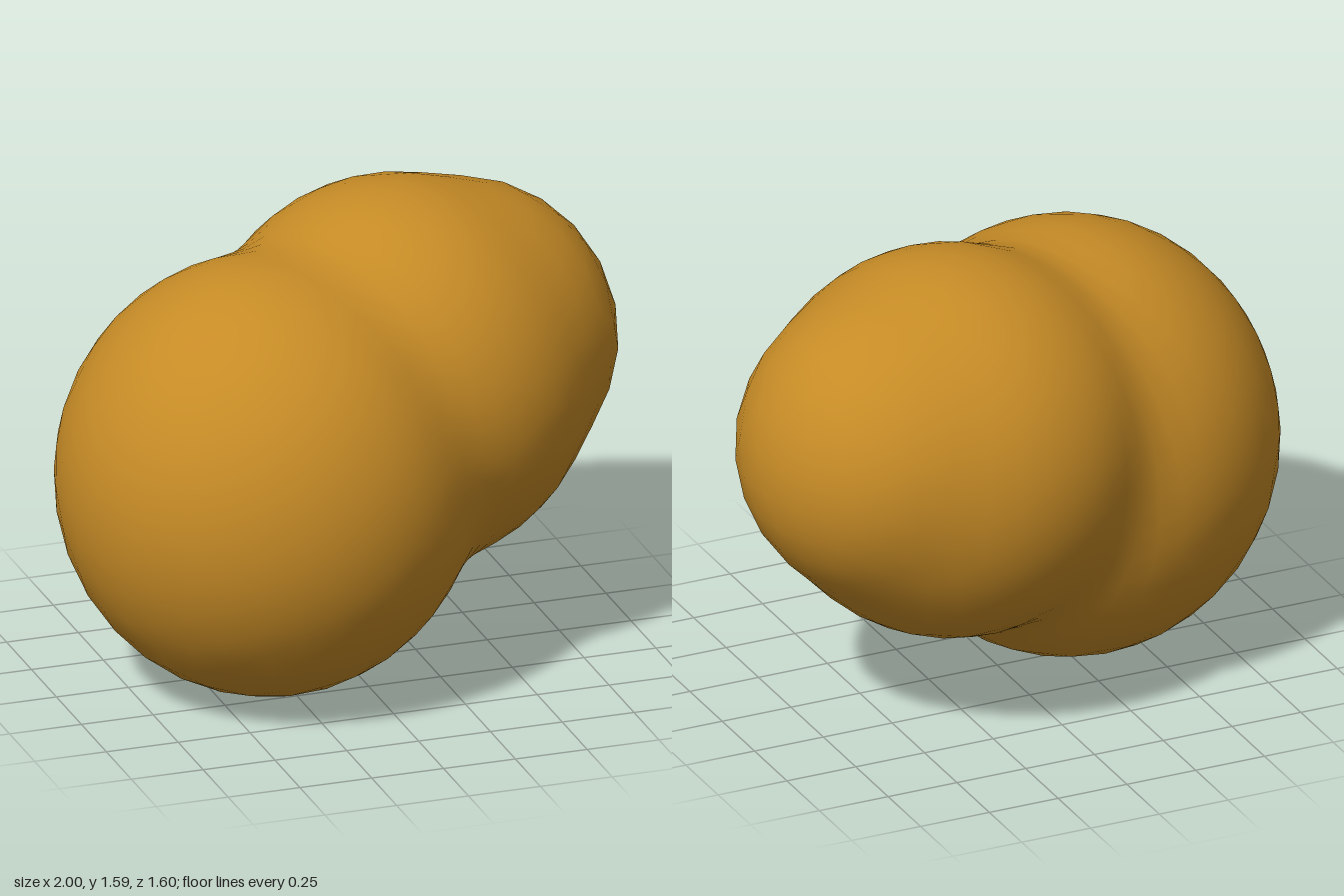
import * as THREE from 'three';
import { mergeVertices } from 'three/addons/utils/BufferGeometryUtils.js';

// Large lower lobe: a near-spherical ellipsoid
const lowerCentre = new THREE.Vector3(-0.3, 0.738, 0.1);
const lowerRadii = new THREE.Vector3(0.704, 0.74, 0.703);

// Upper lobe: a short rounded cone, narrower at its outer end
const upperStart = new THREE.Vector3(0.24, 0.938, -0.15);
const upperEnd = new THREE.Vector3(0.475, 1.0, -0.22);
const startRadius = 0.654;
const endRadius = 0.528;
const blend = 0.1;

const axis = upperEnd.clone().sub(upperStart);
const axisLength = axis.length();
axis.normalize();
const taper = Math.tan(Math.asin((startRadius - endRadius) / axisLength));
const q = new THREE.Vector3();

// Signed distance to the two lobes, joined with a soft waist
function distance(p) {
  const lower = (q.copy(p).sub(lowerCentre).divide(lowerRadii).length() - 1) * 0.72;
  const along = q.copy(p).sub(upperStart).dot(axis);
  const across = q.addScaledVector(axis, -along).length();
  const t = THREE.MathUtils.clamp((along - across * taper) / axisLength, 0, 1);
  q.copy(upperStart).addScaledVector(axis, t * axisLength);
  const upper = q.distanceTo(p) - THREE.MathUtils.lerp(startRadius, endRadius, t);
  const h = Math.max(blend - Math.abs(lower - upper), 0) / blend;
  return Math.min(lower, upper) - h * h * blend * 0.25;
}

// Push every vertex of a sphere outwards onto the blended surface
function lobedGeometry() {
  let geometry = new THREE.IcosahedronGeometry(1, 8);
  geometry.deleteAttribute('uv');
  geometry.deleteAttribute('normal');
  geometry = mergeVertices(geometry, 1e-4);
  const origin = new THREE.Vector3(0, 0.85, -0.03);
  const position = geometry.attributes.position;
  const direction = new THREE.Vector3();
  const p = new THREE.Vector3();
  for (let i = 0; i < position.count; i++) {
    direction.fromBufferAttribute(position, i).normalize();
    let near = 0, far = 2;
    for (let step = 0; step < 30; step++) {
      const mid = (near + far) / 2;
      p.copy(origin).addScaledVector(direction, mid);
      if (distance(p) < 0) near = mid; else far = mid;
    }
    position.setXYZ(i, p.x, p.y, p.z);
  }
  geometry.computeVertexNormals();
  return geometry;
}

export function createModel() {
  const group = new THREE.Group();
  const golden = new THREE.MeshStandardMaterial({ color: 0xc68b26 });
  golden.name = 'golden brown';
  const body = new THREE.Mesh(lobedGeometry(), golden);
  body.name = 'twoLobedBody';
  group.add(body);
  return group;
}
